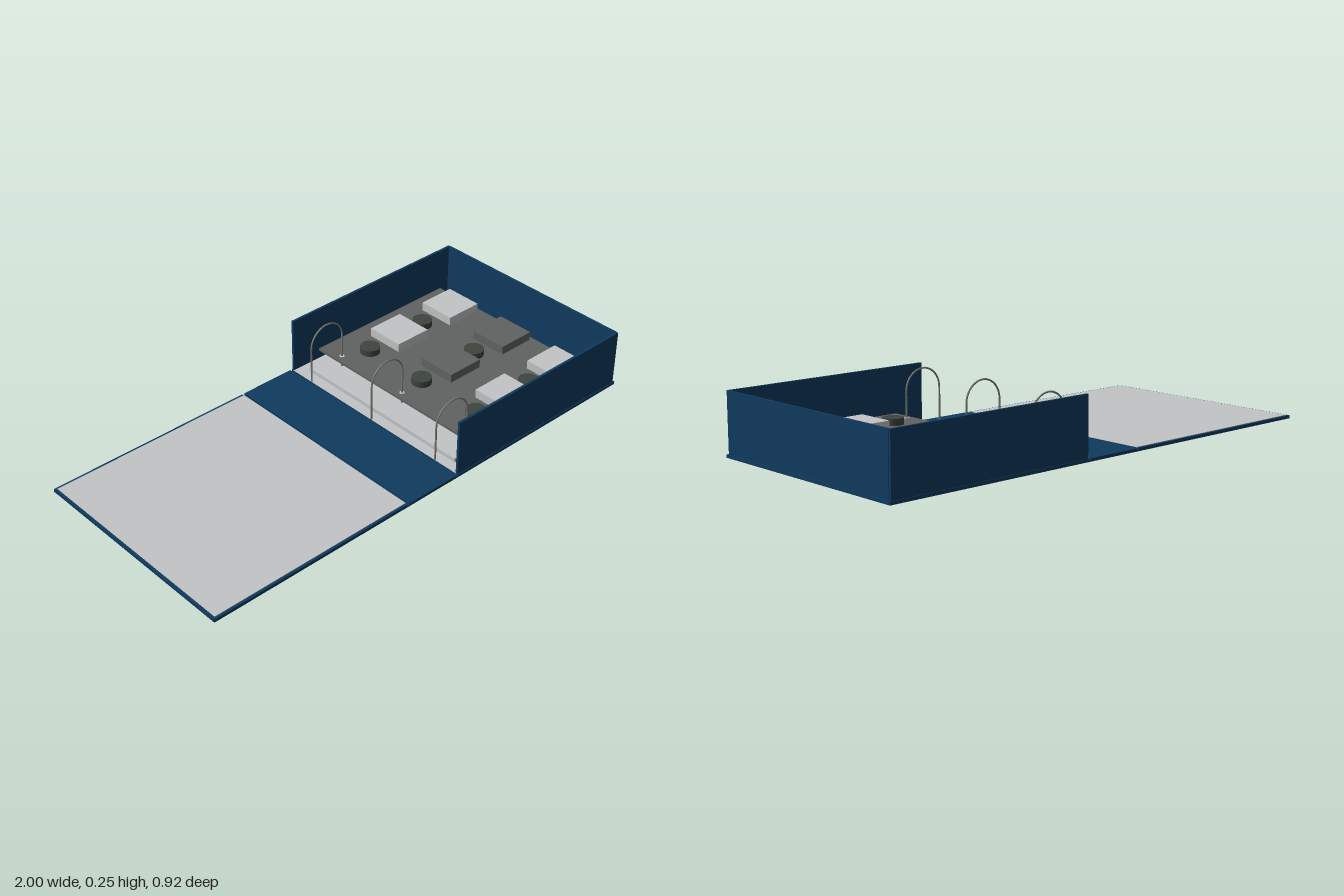
import * as THREE from 'three';

const mat = (name, color, extra = {}) => {
  const m = new THREE.MeshStandardMaterial({ color, ...extra });
  m.name = name;
  return m;
};

export function createModel() {
  const root = new THREE.Group();
  root.name = 'openBinderBox';
  const navy = mat('navyCloth', 0x0f3a5e);
  const light = mat('lightGrey', 0xc2c4c5);
  const slate = mat('slateGrey', 0x606363);
  const knob = mat('darkGreenGrey', 0x3e443e);
  const metal = mat('ringMetal', 0x7c7b78);

  const add = (name, geo, material, x = 0, y = 0, z = 0) => {
    const mesh = new THREE.Mesh(geo, material);
    mesh.name = name;
    mesh.position.set(x, y, z);
    root.add(mesh);
    return mesh;
  };
  // Box given by its minimum and maximum on each axis
  const box = (name, material, x0, x1, y0, y1, z0, z1) =>
    add(name, new THREE.BoxGeometry(x1 - x0, y1 - y0, z1 - z0), material,
      (x0 + x1) / 2, (y0 + y1) / 2, (z0 + z1) / 2);

  // Cover: one thin skin, with three stiff panels parted by hinge grooves
  box('coverSkin', navy, -1, 1, 0, 0.006, -0.458, 0.458);
  box('leftCover', navy, -1, -0.13, 0.006, 0.012, -0.458, 0.458);
  box('spine', navy, -0.12, 0.115, 0.006, 0.012, -0.458, 0.458);
  box('rightCover', navy, 0.123, 1, 0.006, 0.012, -0.458, 0.458);

  // Inner linings
  box('leftLining', light, -0.99, -0.13, 0.012, 0.014, -0.448, 0.448);
  box('trayLining', light, 0.123, 0.99, 0.012, 0.014, -0.448, 0.448);

  // Tray walls, open towards the spine
  for (const s of [-1, 1]) {
    const wall = box(s > 0 ? 'frontWall' : 'backWall', navy, 0.125, 0.992, 0.012, 0.24, -0.005, 0.005);
    wall.position.z = s * 0.45;
  }
  box('endWall', navy, 0.984, 0.994, 0.012, 0.24, -0.446, 0.446);

  // Ring mechanism
  box('ringPlate', light, 0.165, 0.25, 0.014, 0.03, -0.4, 0.4);
  const r = 0.08, top = 0.162;
  const points = [new THREE.Vector3(-r, 0.014, 0), new THREE.Vector3(-r, 0.09, 0)];
  for (let i = 0; i <= 12; i++) {
    const a = Math.PI * (1 - i / 12);
    points.push(new THREE.Vector3(r * Math.cos(a), top + r * Math.sin(a), 0));
  }
  points.push(new THREE.Vector3(r, 0.09, 0), new THREE.Vector3(r, 0.014, 0));
  const ringGeo = new THREE.TubeGeometry(new THREE.CatmullRomCurve3(points), 56, 0.0035, 8);
  const eyeletGeo = new THREE.CylinderGeometry(0.01, 0.01, 0.002, 20);
  for (const z of [-0.34, 0, 0.34]) {
    add('ring', ringGeo, metal, 0.205, 0, z);
    add('eyelet', eyeletGeo, light, 0.285, 0.061, z);
  }

  // Board with two columns of knobs and square blocks
  box('board', slate, 0.255, 0.937, 0.05, 0.06, -0.443, 0.443);
  const knobGeo = new THREE.CylinderGeometry(0.04, 0.04, 0.026, 32);
  for (const x of [0.39, 0.68]) {
    for (const z of [-0.29, 0, 0.29]) {
      add('knob', knobGeo, knob, x, 0.073, z);
      box('block', z === 0 ? slate : light, x + 0.08, x + 0.24, 0.06, 0.096, z - 0.08, z + 0.08);
    }
  }
  return root;
}
